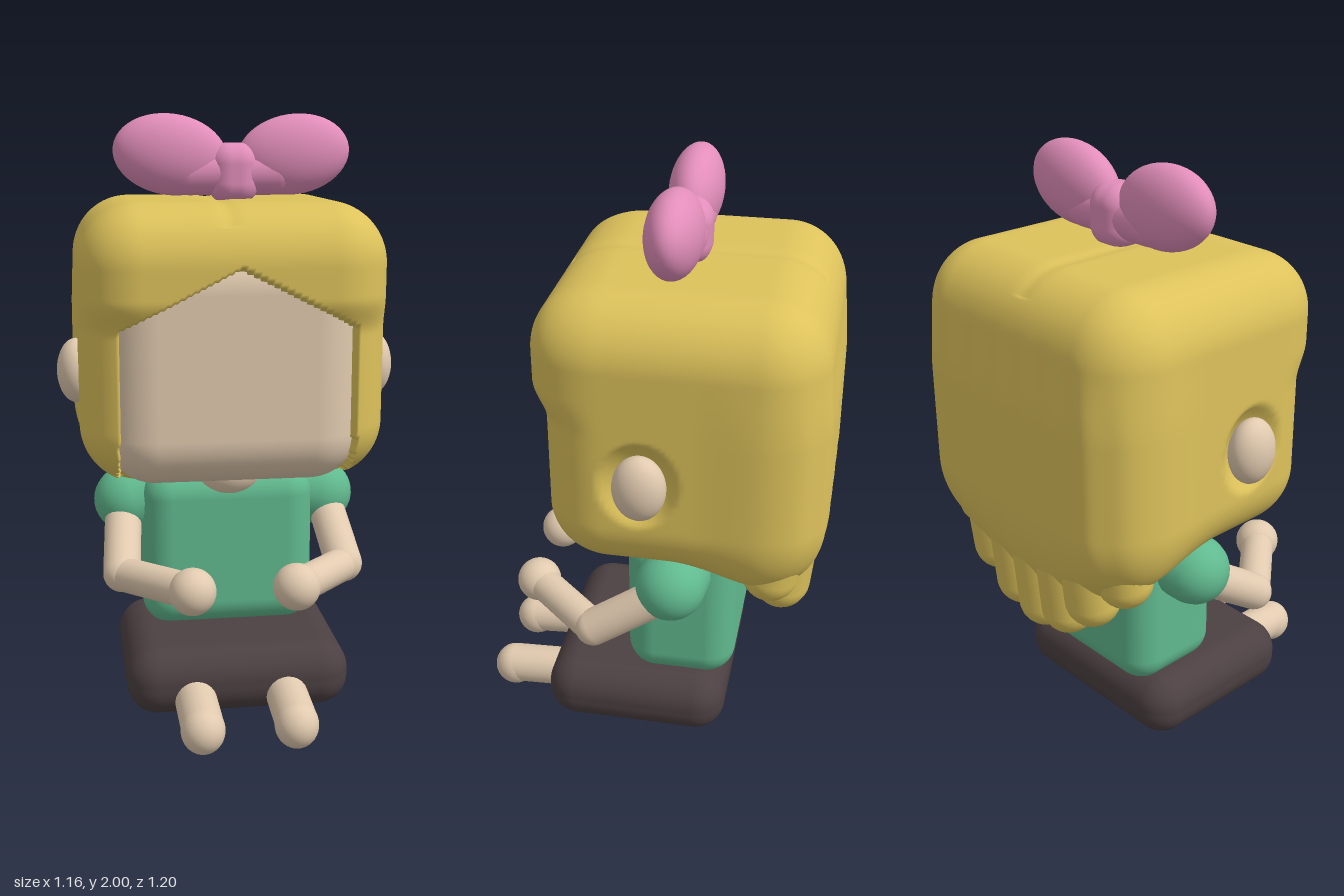
import * as THREE from 'three';
import { mergeVertices } from 'three/addons/utils/BufferGeometryUtils.js';
import { RoundedBoxGeometry } from 'three/addons/geometries/RoundedBoxGeometry.js';

const material = (name, color) => {
  const m = new THREE.MeshStandardMaterial({ color });
  m.name = name;
  return m;
};

export function createModel() {
  const model = new THREE.Group();
  const skin = material('skin', 0xe1caaf);
  const blonde = material('blonde', 0xddc25b);
  const green = material('green', 0x61ba8f);
  const pink = material('pink', 0xe28eba);
  const dark = material('dark brown', 0x4c4042);

  function add(name, geometry, mat, position = [0, 0, 0]) {
    const mesh = new THREE.Mesh(geometry, mat);
    mesh.name = name;
    mesh.position.set(...position);
    model.add(mesh);
    return mesh;
  }
  // Rounded box given by its lower and upper corners
  function block(name, lo, hi, radius, mat) {
    const s = hi.map((v, i) => v - lo[i]);
    const c = hi.map((v, i) => (v + lo[i]) / 2);
    return add(name, new RoundedBoxGeometry(...s, 8, radius), mat, c);
  }
  function ellipsoid(name, position, radii, mat, tilt = 0) {
    const mesh = add(name, new THREE.SphereGeometry(1, 32, 24), mat, position);
    mesh.scale.set(...radii);
    mesh.rotation.z = tilt;
    return mesh;
  }
  // Round-ended limb between two points
  function limb(name, from, to, radius, mat) {
    const a = new THREE.Vector3(...from), b = new THREE.Vector3(...to);
    const dir = b.clone().sub(a);
    const mesh = add(name, new THREE.CapsuleGeometry(radius, dir.length(), 10, 24), mat);
    mesh.position.copy(a).add(b).multiplyScalar(0.5);
    mesh.quaternion.setFromUnitVectors(new THREE.Vector3(0, 1, 0), dir.normalize());
    return mesh;
  }

  // Hair: dense rounded block with fringe, face opening, ear dimples and a back curtain
  function hairGeometry() {
    const half = new THREE.Vector3(0.51, 0.465, 0.435), r = 0.2;
    const core = half.clone().subScalar(r);
    const low = core.clone().negate();
    const g = new THREE.BoxGeometry(half.x * 2, half.y * 2, half.z * 2, 96, 86, 60);
    g.deleteAttribute('normal');
    g.deleteAttribute('uv');
    const merged = mergeVertices(g);
    const pos = merged.attributes.position;
    const p = new THREE.Vector3(), c = new THREE.Vector3();
    const smooth = THREE.MathUtils.smoothstep;
    for (let i = 0; i < pos.count; i++) {
      p.fromBufferAttribute(pos, i);
      c.copy(p).clamp(low, core);
      p.sub(c).setLength(r).add(c);
      p.y += 1.255;
      p.z -= 0.145;
      const ax = Math.abs(p.x), y = p.y, z = p.z;
      // face opening, raised fringe and side locks
      if (ax < 0.385 && y < 1.515 - 0.5 * ax) {
        p.z -= 0.08 * smooth(z, 0.05, 0.2);
      } else {
        p.z += (0.01 + 0.04 * smooth(y, 1.3, 1.42)) * smooth(z, 0, 0.25);
      }
      // ear dimples and parting
      const d = Math.hypot((y - 1.15) / 0.15, (z + 0.025) / 0.125);
      if (ax > 0.4 && d < 1) p.x -= Math.sign(p.x) * 0.06 * (1 - d * d);
      if (y > 1.65) p.y -= 0.006 * Math.exp(-(((p.x + 0.03) / 0.03) ** 2));
      // wavy bulge down the back, hanging lowest in the middle
      const bulge = 1 - smooth(y, 1.3, 1.6);
      const wave = 0.019 + 0.004 * Math.cos((p.x / 0.122) * Math.PI * 2);
      p.z -= wave * bulge * smooth(-z, 0.35, 0.56);
      p.x *= 1 + 0.02 * bulge * smooth(-z, 0.2, 0.38);
      const drop = Math.max(0.07, 0.22 - 1.1 * ax * ax);
      p.y -= drop * smooth(-z, 0.1, 0.42) * Math.max(0, (1 - y) / 0.21);
      pos.setXYZ(i, p.x, p.y, p.z);
    }
    merged.computeVertexNormals();
    return merged;
  }

  block('head', [-0.43, 0.787, -0.4], [0.43, 1.6, 0.276], 0.17, skin);
  add('hair', hairGeometry(), blonde);

  // Rounded ends of the back strands, longest in the middle
  const tips = [0.46, 0.49, 0.575, 0.69];
  for (let i = -3; i <= 3; i++) {
    const k = Math.abs(i), x = i * 0.122;
    const z = k === 3 ? 0.03 : 0;
    limb('hairStrand', [x, 1.08, -0.508 + z], [x, tips[k] + 0.092, -0.46 + z], 0.092, blonde);
  }

  // Bow
  ellipsoid('bowLoopRight', [-0.182, 1.865, -0.088], [0.194, 0.134, 0.088], pink, -0.14);
  ellipsoid('bowLoopLeft', [0.237, 1.865, -0.088], [0.194, 0.134, 0.088], pink, 0.14);
  limb('bowBridge', [-0.12, 1.805, -0.088], [0.175, 1.805, -0.088], 0.075, pink);
  block('bowKnot', [-0.055, 1.7, -0.173], [0.115, 1.905, -0.003], 0.07, pink);

  // Body and clothes
  block('shirt', [-0.3, 0.23, -0.308], [0.3, 0.8, 0.07], 0.1, green);
  ellipsoid('neck', [0, 0.8, 0.004], [0.12, 0.1, 0.1], skin);
  block('skirt', [-0.377, 0.022, -0.285], [0.377, 0.252, 0.352], 0.105, dark);

  // Mirrored parts
  for (const s of [-1, 1]) {
    ellipsoid('ear', [s * 0.515, 1.15, -0.03], [0.065, 0.11, 0.085], skin);
    limb('sleeve', [s * 0.24, 0.69, -0.12], [s * 0.345, 0.67, -0.1], 0.118, green);
    limb('upperArm', [s * 0.365, 0.615, -0.04], [s * 0.382, 0.485, 0.16], 0.064, skin);
    limb('forearm', [s * 0.382, 0.482, 0.16], [s * 0.18, 0.5, 0.4], 0.058, skin);
    ellipsoid('hand', [s * 0.17, 0.5, 0.408], [0.077, 0.077, 0.077], skin);
    limb('leg', [s * 0.155, 0.1, 0.2], [s * 0.152, 0.082, 0.528], 0.07, skin);
    ellipsoid('foot', [s * 0.152, 0.076, 0.525], [0.072, 0.076, 0.076], skin);
  }
  return model;
}
